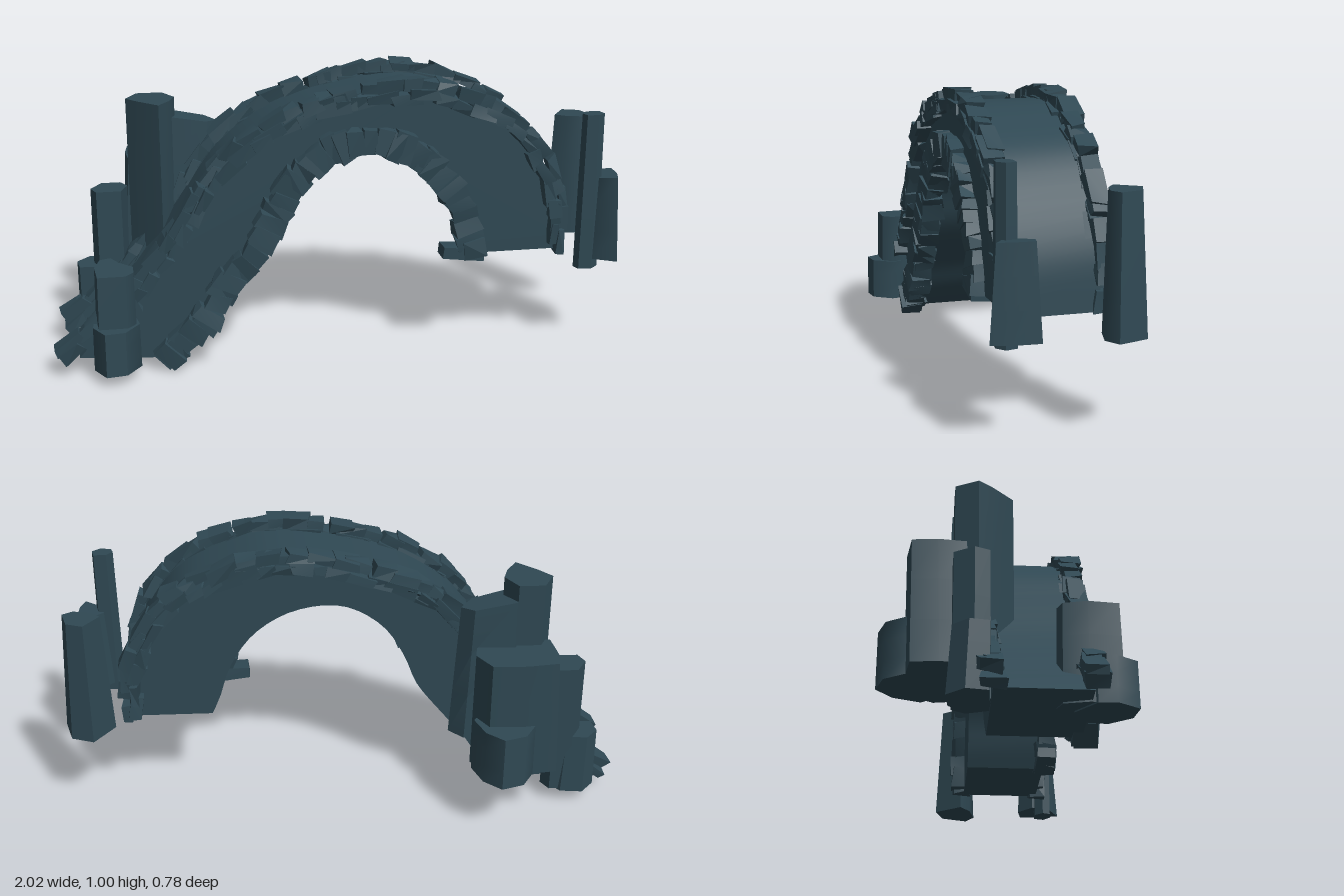
import * as THREE from 'three';
import { mergeGeometries, toCreasedNormals } from 'three/addons/utils/BufferGeometryUtils.js';

// small seeded random in -1..1
let state = 7;
const rand = () => {
  state = (state * 16807) % 2147483647;
  return (state / 2147483647) * 2 - 1;
};

const curveOf = (pts) =>
  new THREE.CatmullRomCurve3(pts.map(([x, y]) => new THREE.Vector3(x, y, 0)), false, 'centripetal');

// deck line (left foot to right foot), underside line, and centres of the stone trims
const DECK = [[-0.93, 0.06], [-0.8, 0.21], [-0.67, 0.37], [-0.54, 0.56], [-0.41, 0.74], [-0.23, 0.865],
  [0, 0.935], [0.25, 0.96], [0.42, 0.915], [0.57, 0.84], [0.68, 0.71], [0.76, 0.54], [0.78, 0.36]];
const UNDER = [[-0.62, 0.04], [-0.51, 0.14], [-0.45, 0.23], [-0.36, 0.34], [-0.27, 0.46], [-0.22, 0.58],
  [-0.14, 0.7], [0, 0.78], [0.17, 0.765], [0.31, 0.68], [0.4, 0.55], [0.44, 0.43], [0.47, 0.36]];
const OUTER_TRIM = [[-0.97, 0.09], [-0.81, 0.21], ...DECK.slice(2, -2), [0.75, 0.54], [0.755, 0.37]];
const INNER_TRIM = [[-0.64, 0.04], [-0.5, 0.175], [-0.405, 0.32], [-0.31, 0.43], [-0.245, 0.56], [-0.15, 0.7],
  [0, 0.785], [0.17, 0.765], [0.305, 0.685], [0.4, 0.55], [0.44, 0.42], [0.45, 0.37]];

// rough slab: a box with its eight corners nudged
function stone(len, high, deep, wobble) {
  const geo = new THREE.BoxGeometry(len, high, deep);
  const nudge = Array.from({ length: 8 }, () => [rand(), rand(), rand()]);
  const p = geo.attributes.position;
  for (let i = 0; i < p.count; i++) {
    const [x, y, z] = [p.getX(i), p.getY(i), p.getZ(i)];
    const n = nudge[(x > 0 ? 1 : 0) + (y > 0 ? 2 : 0) + (z > 0 ? 4 : 0)];
    p.setXYZ(i, x + n[0] * wobble, y + n[1] * wobble, z + n[2] * wobble);
  }
  return toCreasedNormals(geo, 0.3);
}

// row of slabs laid along a curve, in stacked courses; outer course is narrower
function stoneTrim(points, count, courses, z, width) {
  const curve = curveOf(points);
  const step = curve.getLength() / count;
  const parts = [];
  for (let c = 0; c < courses; c++) {
    for (let i = 0; i < count; i++) {
      const t = THREE.MathUtils.clamp((i + 0.5 + rand() * 0.3) / count, 0, 1);
      const pos = curve.getPointAt(t);
      const dir = curve.getTangentAt(t);
      const h = width / courses;
      const off = (c + 0.5) * h - width / 2 + rand() * 0.006;
      const deep = 0.075 - c * 0.014 + rand() * 0.008;
      const geo = stone(step * (1.35 + rand() * 0.4), h * (1.1 + rand() * 0.15), deep, 0.009);
      geo.rotateZ(Math.atan2(dir.y, dir.x) + rand() * 0.1);
      geo.translate(pos.x - dir.y * off, pos.y + dir.x * off, z + rand() * 0.006);
      parts.push(geo);
    }
  }
  return mergeGeometries(parts);
}

// standing rock raised from a footprint of [x, z] points, narrowed by taper; tilt slopes the top along x
function rock(foot, y0, y1, { taper = 0.95, shiftX = 0, shiftZ = 0, tilt = 0 } = {}) {
  const n = foot.length;
  const cx = foot.reduce((s, q) => s + q[0], 0) / n;
  const cz = foot.reduce((s, q) => s + q[1], 0) / n;
  const geo = new THREE.CylinderGeometry(1, 1, 1, n, 3);
  const p = geo.attributes.position;
  for (let i = 0; i < p.count; i++) {
    const [x, y, z] = [p.getX(i), p.getY(i), p.getZ(i)];
    const f = y + 0.5;
    const k = (2 * n - Math.round((Math.atan2(x, z) / (Math.PI * 2)) * n)) % n;
    const r = Math.hypot(x, z) * (1 + (taper - 1) * f);
    const dx = (foot[k][0] - cx) * r;
    const dz = (foot[k][1] - cz) * r;
    p.setXYZ(i, cx + dx + shiftX * f, y0 + (y1 - y0) * f + tilt * dx * f, cz + dz + shiftZ * f);
  }
  return toCreasedNormals(geo, 0.8);
}

export function createModel() {
  const model = new THREE.Group();
  model.name = 'stoneArchBridge';
  const slate = new THREE.MeshStandardMaterial({ color: 0x2f4853 });
  slate.name = 'darkSlate';
  const add = (name, geo) => {
    const mesh = new THREE.Mesh(geo, slate);
    mesh.name = name;
    model.add(mesh);
  };

  // solid arch body
  const outline = [...curveOf(DECK).getSpacedPoints(48), ...curveOf(UNDER).getSpacedPoints(40).reverse()];
  const shape = new THREE.Shape(outline.map((v) => new THREE.Vector2(v.x, v.y)));
  const body = new THREE.ExtrudeGeometry(shape, { depth: 0.295, bevelEnabled: false });
  body.translate(0, 0, -0.05);
  add('archBody', toCreasedNormals(body, 0.6));

  // stone trims: both deck edges, and the arch opening on the front
  add('frontDeckTrim', stoneTrim(OUTER_TRIM, 36, 2, 0.246, 0.07));
  add('backDeckTrim', stoneTrim(OUTER_TRIM, 36, 2, -0.058, 0.07));
  add('frontOpeningTrim', stoneTrim(INNER_TRIM, 40, 1, 0.25, 0.085));

  // foot stones at the ends of the trims
  const foot = (name, w, h, x, y, z, turn) =>
    add(name, stone(w, h, 0.07, 0.006).rotateZ(turn).translate(x, y, z));
  foot('openingFootRight', 0.15, 0.05, 0.41, 0.37, 0.25, -0.1);
  foot('openingFootLeft', 0.12, 0.08, -0.61, 0.075, 0.25, 0.75);

  // rocks beside the right-hand end
  add('rightBackRock', rock(
    [[0.82, -0.06], [0.89, -0.16], [0.97, -0.13], [1.0, -0.03], [0.95, 0], [0.87, -0.02]],
    0.32, 0.77, { taper: 0.74, shiftX: -0.005 }));
  add('rightFrontTallRock', rock(
    [[0.815, 0.28], [0.84, 0.25], [0.89, 0.25], [0.9, 0.29], [0.87, 0.315], [0.825, 0.31]],
    0.3, 0.86, { taper: 0.9 }));
  add('rightFrontRock', rock(
    [[0.85, 0.24], [0.91, 0.185], [0.975, 0.2], [0.97, 0.29], [0.95, 0.355], [0.87, 0.31]],
    0.335, 0.635, { taper: 0.75, tilt: 0.1 }));

  // stepped rock beside the left-hand front
  add('leftFrontRock', rock(
    [[-0.87, 0.24], [-0.85, 0.16], [-0.81, 0.145], [-0.78, 0.2], [-0.73, 0.25], [-0.73, 0.31], [-0.76, 0.345], [-0.86, 0.345]],
    0.05, 0.385, { taper: 0.93 }));
  add('leftFrontLowRock', rock(
    [[-0.875, 0.26], [-0.8, 0.2], [-0.73, 0.25], [-0.72, 0.31], [-0.77, 0.38], [-0.84, 0.39], [-0.88, 0.32]],
    0.045, 0.2, { taper: 0.98 }));

  // rock cluster behind the left-hand end
  add('leftBackLowRock', rock(
    [[-0.93, -0.13], [-0.88, -0.185], [-0.8, -0.175], [-0.76, -0.12], [-0.8, -0.05], [-0.92, -0.06]],
    0.055, 0.28, { taper: 0.9, shiftX: -0.008, shiftZ: 0.01 }));
  add('leftBackMidRock', rock(
    [[-0.87, -0.1], [-0.83, -0.165], [-0.76, -0.165], [-0.735, -0.12], [-0.76, -0.05], [-0.85, -0.05]],
    0.06, 0.56, { taper: 0.97 }));
  add('leftBackTallRock', rock(
    [[-0.73, -0.08], [-0.69, -0.155], [-0.6, -0.155], [-0.56, -0.08], [-0.58, -0.02], [-0.62, 0.04], [-0.69, -0.03]],
    0.2, 0.89, { taper: 1 }));
  add('leftBackShoulderRock', rock(
    [[-0.64, -0.1], [-0.6, -0.18], [-0.43, -0.175], [-0.38, -0.12], [-0.43, -0.06], [-0.6, -0.04]],
    0.3, 0.815, { taper: 0.85, shiftX: -0.01, shiftZ: 0.01, tilt: -0.2 }));
  add('leftBackOuterRock', rock(
    [[-0.76, -0.2], [-0.75, -0.29], [-0.63, -0.305], [-0.5, -0.3], [-0.45, -0.21], [-0.47, -0.1], [-0.6, -0.07], [-0.75, -0.1]],
    0.22, 0.66, { taper: 0.92, shiftX: 0.01, shiftZ: -0.01 }));
  add('leftBackFarRock', rock(
    [[-0.67, -0.29], [-0.62, -0.37], [-0.54, -0.395], [-0.48, -0.34], [-0.45, -0.25], [-0.5, -0.18], [-0.65, -0.18]],
    0.22, 0.42, { taper: 0.98 }));

  return model;
}
